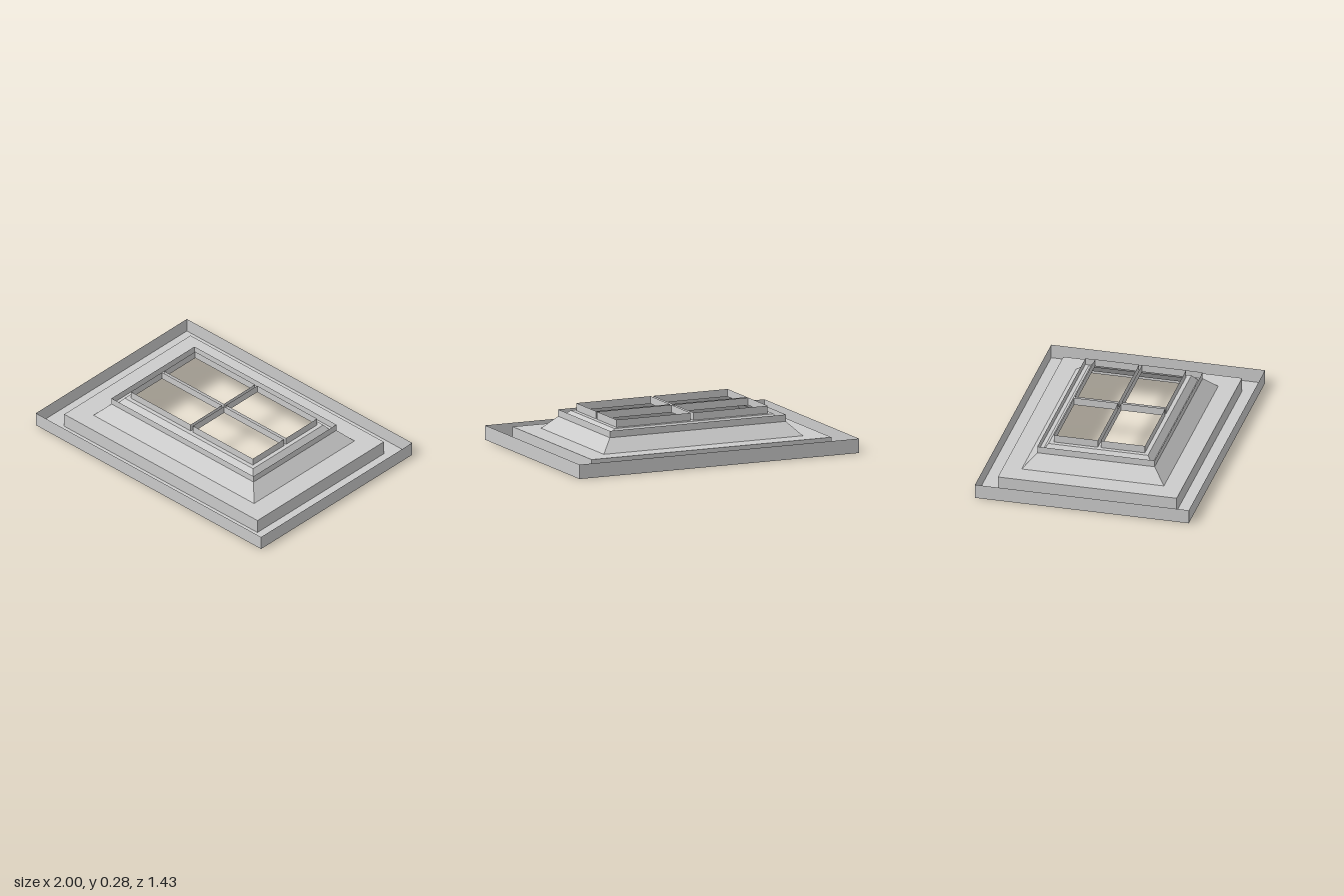
import * as THREE from 'three';

const material = new THREE.MeshStandardMaterial({
  color: 0xcccccc, flatShading: true, side: THREE.DoubleSide,
});

// Thin rectangular skin swept through loops of [half width, half depth, height]
function rectSkin(name, loops, cx = 0, cz = 0) {
  const signs = [[-1, 1], [1, 1], [1, -1], [-1, -1]];
  const points = [];
  const corner = ([hx, hz, y], i) => {
    const [sx, sz] = signs[i % 4];
    return [cx + sx * hx, y, cz + sz * hz];
  };
  for (let k = 0; k < loops.length - 1; k++) {
    for (let i = 0; i < 4; i++) {
      const a = corner(loops[k], i), b = corner(loops[k], i + 1);
      const c = corner(loops[k + 1], i + 1), d = corner(loops[k + 1], i);
      points.push(...a, ...b, ...c, ...a, ...c, ...d);
    }
  }
  const geometry = new THREE.BufferGeometry();
  geometry.setAttribute('position', new THREE.Float32BufferAttribute(points, 3));
  geometry.computeVertexNormals();
  const mesh = new THREE.Mesh(geometry, material);
  mesh.name = name;
  return mesh;
}

function rectPath(path, x0, x1, z0, z1) {
  path.moveTo(x0, z0);
  path.lineTo(x1, z0);
  path.lineTo(x1, z1);
  path.lineTo(x0, z1);
  path.closePath();
  return path;
}

export function createModel() {
  const group = new THREE.Group();
  group.name = 'roofWindow';

  // Upstanding edge of the base and the gutter floor inside it
  group.add(rectSkin('outerRim', [[1, 0.714, 0], [1, 0.714, 0.095]]));
  group.add(rectSkin('gutterFloor', [[1, 0.714, 0], [0.858, 0.597, 0]]));

  // Raised plinth with the sloping curb
  group.add(rectSkin('plinth', [
    [0.858, 0.597, 0], [0.858, 0.597, 0.095], [0.713, 0.475, 0.095],
  ]));
  group.add(rectSkin('slopingCurb', [[0.713, 0.475, 0.095], [0.63, 0.392, 0.182]]));

  // Upper rim, its narrow ledge and the bevel up to the window sheet
  group.add(rectSkin('upperRim', [[0.63, 0.392, 0.182], [0.63, 0.392, 0.227]]));
  group.add(rectSkin('ledgeAndBevel', [
    [0.63, 0.392, 0.182], [0.605, 0.367, 0.182], [0.57, 0.332, 0.227],
  ]));

  // Window sheet with four openings, each with an upstanding frame
  const inner = 0.01, paneX = 0.541, paneZ = 0.304;
  const sheet = rectPath(new THREE.Shape(), -0.57, 0.57, -0.332, 0.332);
  for (const sx of [-1, 1]) {
    for (const sz of [-1, 1]) {
      const xs = [sx * inner, sx * paneX].sort((a, b) => a - b);
      const zs = [sz * inner, sz * paneZ].sort((a, b) => a - b);
      sheet.holes.push(rectPath(new THREE.Path(), ...xs, ...zs));
      const hx = (paneX - inner) / 2, hz = (paneZ - inner) / 2;
      group.add(rectSkin(
        `${sz > 0 ? 'front' : 'back'}${sx > 0 ? 'Left' : 'Right'}PaneFrame`,
        [[hx, hz, 0.227], [hx, hz, 0.277]],
        sx * (inner + hx), sz * (inner + hz),
      ));
    }
  }
  const sheetMesh = new THREE.Mesh(
    new THREE.ShapeGeometry(sheet).rotateX(-Math.PI / 2), material);
  sheetMesh.name = 'windowSheet';
  sheetMesh.position.y = 0.227;
  group.add(sheetMesh);

  return group;
}
